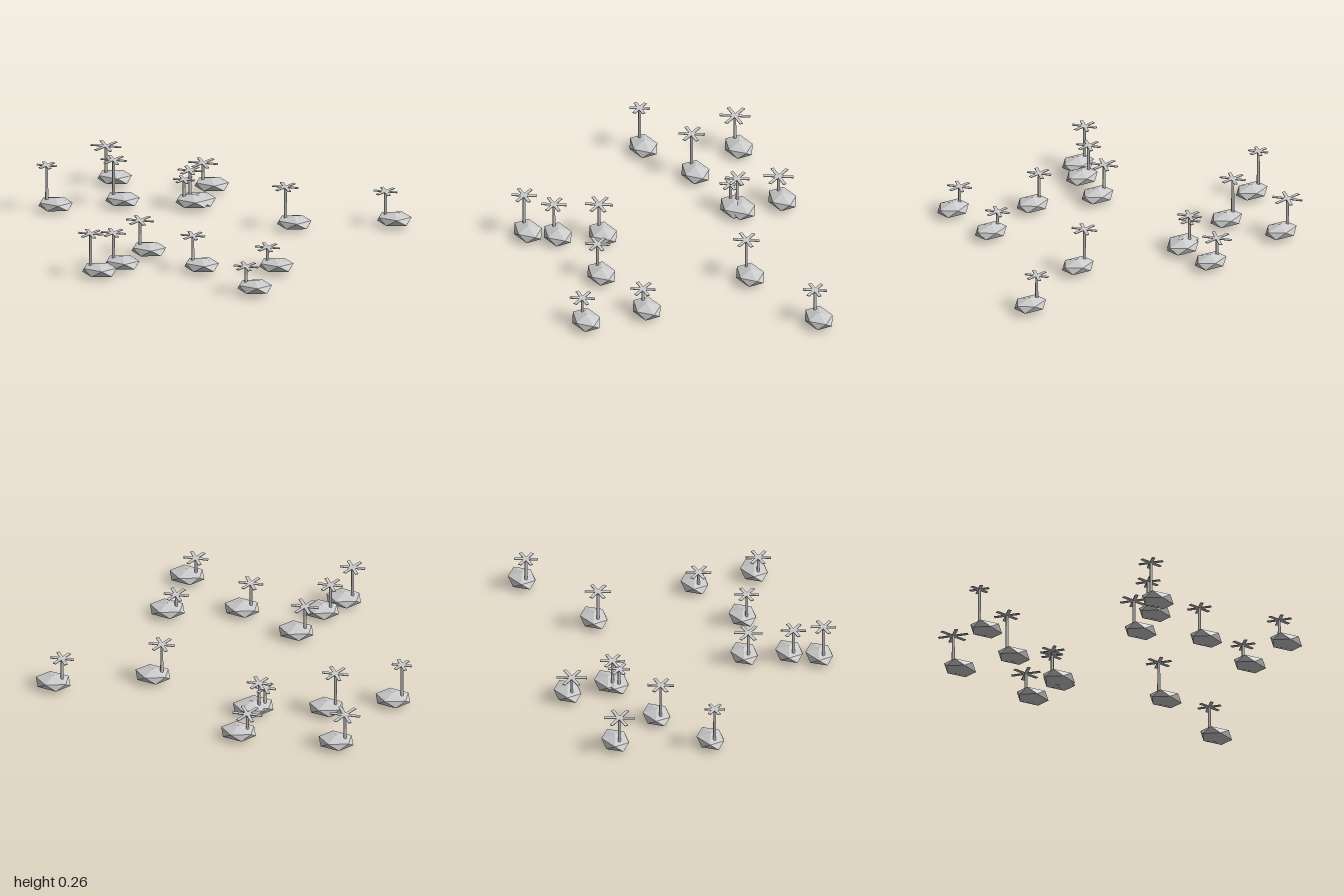
import * as THREE from 'three';
import { ConvexGeometry } from 'three/addons/geometries/ConvexGeometry.js';

// x, z of each island, height of its palm, length of its fronds
const ISLANDS = [
  [-0.68, -0.69, 0.21, 0.082], [-0.155, -0.70, 0.155, 0.08],
  [-0.57, -0.385, 0.257, 0.07], [-0.174, -0.467, 0.20, 0.066],
  [-0.20, -0.44, 0.155, 0.058], [-0.90, -0.235, 0.255, 0.054],
  [0.393, -0.255, 0.235, 0.07], [0.90, -0.42, 0.19, 0.064],
  [-0.275, 0.295, 0.198, 0.075], [0.048, 0.455, 0.20, 0.066],
  [0.435, 0.37, 0.134, 0.067], [-0.37, 0.515, 0.203, 0.067],
  [-0.465, 0.645, 0.24, 0.067], [0.393, 0.705, 0.15, 0.067],
];
const TREE_OFFSET = -0.048;

// Squashed twenty-sided rock: two poles and two staggered rings of five
function rockGeometry(rx, ry, rz) {
  const points = [new THREE.Vector3(0, 0, 0), new THREE.Vector3(0, 2 * ry, 0)];
  for (let i = 0; i < 10; i++) {
    const a = (i * Math.PI) / 5;
    const level = i % 2 ? -0.447 : 0.447;
    points.push(new THREE.Vector3(
      0.894 * rx * Math.cos(a), ry * (1 + level), 0.894 * rz * Math.sin(a)));
  }
  return new ConvexGeometry(points);
}

export function createModel() {
  const model = new THREE.Group();
  model.name = 'palmIslands';
  const grey = new THREE.MeshStandardMaterial({ color: 0xcccccc });
  grey.name = 'light grey';
  const rockShape = rockGeometry(0.1046, 0.038, 0.08);

  const add = (parent, name, geometry, x, y, z) => {
    const mesh = new THREE.Mesh(geometry, grey);
    mesh.name = name;
    mesh.position.set(x, y, z);
    parent.add(mesh);
    return mesh;
  };

  for (const [x, z, height, length] of ISLANDS) {
    const island = new THREE.Group();
    island.name = 'island';
    island.position.set(x, 0, z);
    model.add(island);
    add(island, 'rock', rockShape, 0, 0, 0);

    // Palm: straight trunk rooted in the rock
    const base = 0.04;
    const trunk = new THREE.CylinderGeometry(0.0075, 0.0085, height - base, 8);
    add(island, 'trunk', trunk, TREE_OFFSET, (height + base) / 2, 0);

    // Six flat fronds, made as three crossing bars
    const bar = new THREE.BoxGeometry(length * 2, 0.004, 0.018);
    for (let i = 0; i < 3; i++) {
      add(island, 'fronds', bar, TREE_OFFSET, height, 0).rotation.y = (i * Math.PI) / 3;
    }
  }
  return model;
}
